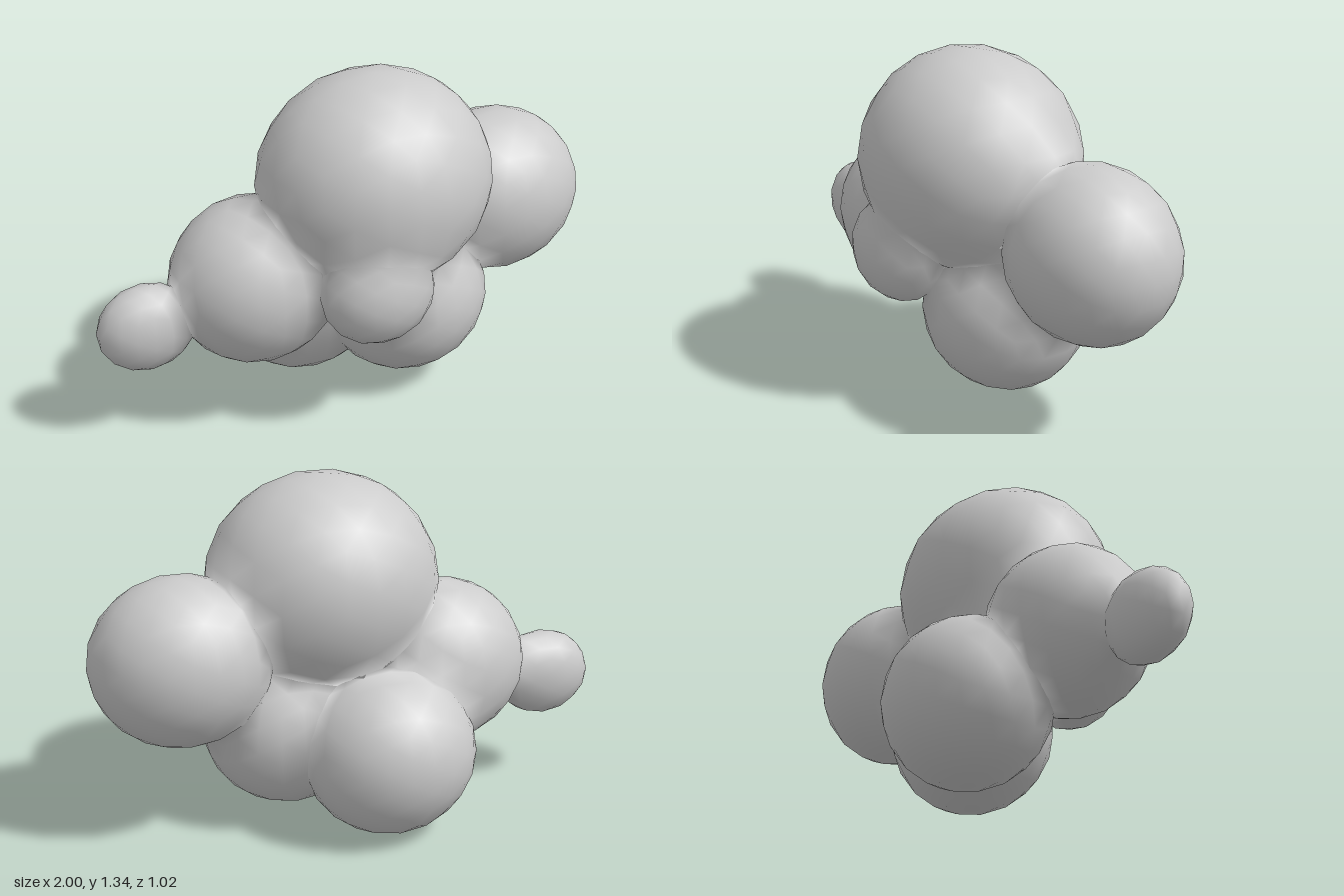
import * as THREE from 'three';

// Each puff of the cloud: name, centre, radii, subdivision
const PUFFS = [
  ['mainPuff', [0.08, 0.92, 0.10], [0.45, 0.42, 0.405], 3],
  ['leftPuff', [0.65, 0.70, -0.025], [0.35, 0.328, 0.303], 3],
  ['rightPuff', [-0.38, 0.57, 0.043], [0.33, 0.322, 0.303], 3],
  ['rightTipPuff', [-0.81, 0.464, 0.042], [0.19, 0.173, 0.118], 2],
  ['frontPuff', [-0.02, 0.59, 0.35], [0.22, 0.203, 0.165], 2],
  ['lowerFrontPuff', [0.235, 0.37, 0.05], [0.33, 0.313, 0.303], 3],
  ['lowerBackPuff', [-0.10, 0.322, -0.205], [0.335, 0.322, 0.308], 3],
].map(([name, c, r, detail]) => ({
  name, detail,
  centre: new THREE.Vector3(...c),
  radii: new THREE.Vector3(...r),
}));

const BLEND = 0.035; // width over which neighbouring puffs shade into each other

// Normal of the softly blended union of all puffs at a point
function blendedNormal(point) {
  const normal = new THREE.Vector3();
  for (const { centre, radii } of PUFFS) {
    const q = point.clone().sub(centre).divide(radii);
    const distance = (q.length() - 1) * Math.min(radii.x, radii.y, radii.z);
    const direction = q.divide(radii).normalize();
    normal.addScaledVector(direction, Math.exp(-distance / BLEND));
  }
  return normal.normalize();
}

// Coarse ellipsoid whose shading flows into the puffs it touches
function puffGeometry({ centre, radii, detail }) {
  const geometry = new THREE.IcosahedronGeometry(1, detail);
  geometry.scale(radii.x, radii.y, radii.z);
  geometry.translate(centre.x, centre.y, centre.z);
  const position = geometry.attributes.position;
  const point = new THREE.Vector3();
  for (let i = 0; i < position.count; i++) {
    const n = blendedNormal(point.fromBufferAttribute(position, i));
    geometry.attributes.normal.setXYZ(i, n.x, n.y, n.z);
  }
  return geometry;
}

export function createModel() {
  const cloud = new THREE.Group();
  cloud.name = 'cloud';
  const material = new THREE.MeshStandardMaterial({ color: 0xcccccc });
  for (const puff of PUFFS) {
    const mesh = new THREE.Mesh(puffGeometry(puff), material);
    mesh.name = puff.name;
    cloud.add(mesh);
  }
  return cloud;
}
